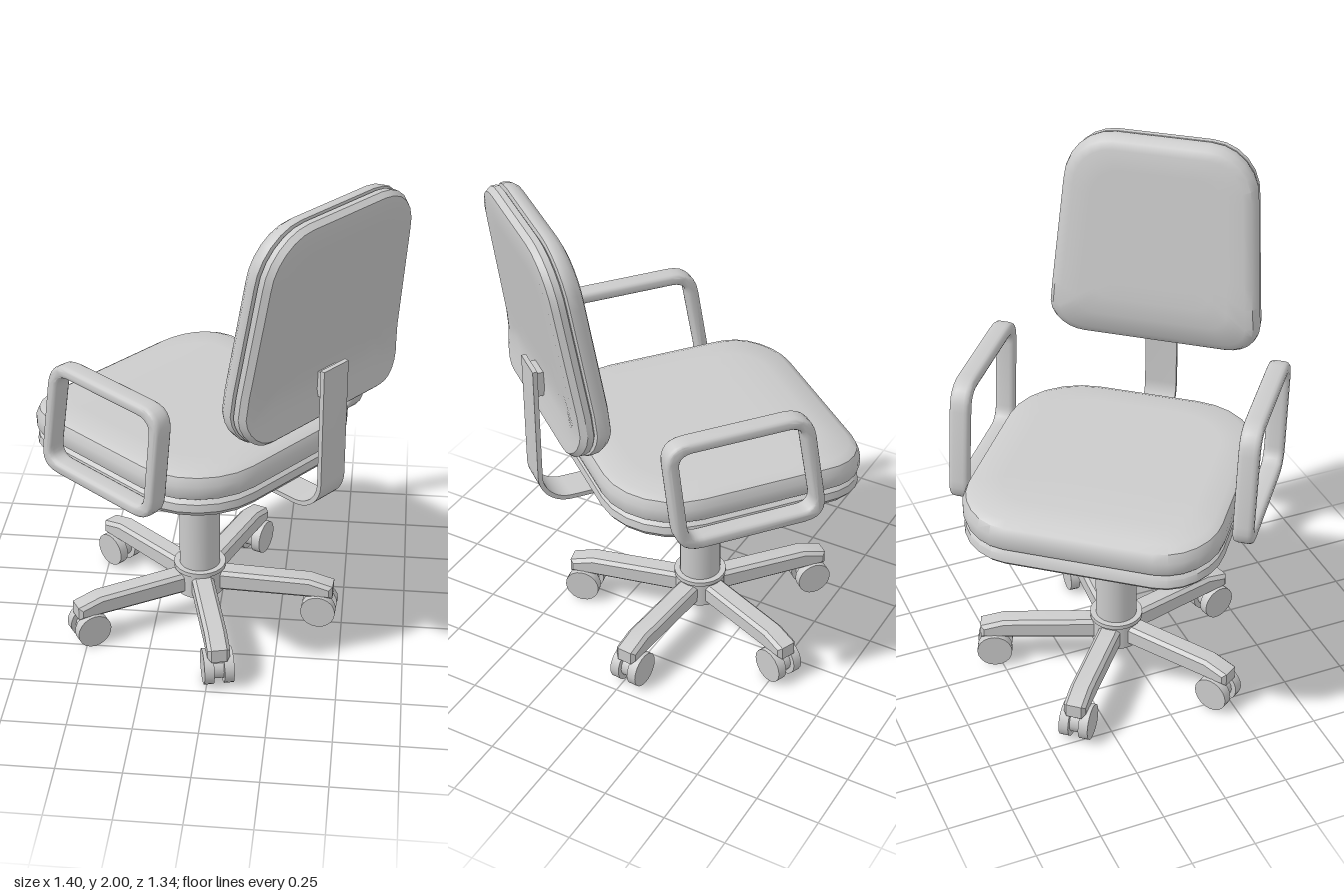
import * as THREE from 'three';
import { toCreasedNormals } from 'three/addons/utils/BufferGeometryUtils.js';

const grey = new THREE.MeshStandardMaterial({ color: 0xcccccc });

function add(parent, name, geometry, x = 0, y = 0, z = 0) {
  const mesh = new THREE.Mesh(geometry, grey);
  mesh.name = name;
  mesh.position.set(x, y, z);
  parent.add(mesh);
  return mesh;
}

// Rounded four-sided outline, inset by d; top and bottom ends have their own width and radius
function outline(o, d) {
  const corners = [
    [o.wTop - o.rTop, o.top - o.rTop, o.rTop], [-o.wTop + o.rTop, o.top - o.rTop, o.rTop],
    [-o.wBot + o.rBot, o.bottom + o.rBot, o.rBot], [o.wBot - o.rBot, o.bottom + o.rBot, o.rBot],
  ];
  const arcs = corners.map(([cx, cy, r], k) => Array.from({ length: 7 }, (_, i) => {
    const a = (k + i / 6) * Math.PI / 2;
    return [cx + (r - d) * Math.cos(a), cy + (r - d) * Math.sin(a)];
  }));
  const pts = [];
  arcs.forEach((arc, k) => {
    pts.push(...arc);
    const a = arc[6], b = arcs[(k + 1) % 4][0];
    for (let i = 1; i < 6; i++) pts.push([a[0] + (b[0] - a[0]) * i / 6, a[1] + (b[1] - a[1]) * i / 6]);
  });
  return pts;
}

// Closed pad lofted through [inset, height] rings, with bendable caps; bend(v) shifts the height
function pad(o, profile, bend) {
  const cy = (o.top + o.bottom) / 2;
  const caps = [0, 0.2, 0.4, 0.6, 0.8];
  const first = profile[0], last = profile[profile.length - 1];
  const rings = [
    ...caps.map(s => [...first, s]),
    ...profile.map(p => [...p, 1]),
    ...caps.slice().reverse().map(s => [...last, s]),
  ];
  const pos = [], idx = [];
  let n = 0;
  rings.forEach(([d, h, s], i) => {
    const pts = outline(o, d);
    n = pts.length;
    pts.forEach(([u, v], j) => {
      const y = cy + (v - cy) * s;
      pos.push(u * s, y, h + bend(y));
      if (i === 0) return;
      const a = (i - 1) * n + j, b = (i - 1) * n + (j + 1) % n;
      idx.push(a, b, b + n, a, b + n, a + n);
    });
  });
  const g = new THREE.BufferGeometry();
  g.setAttribute('position', new THREE.Float32BufferAttribute(pos, 3));
  g.setIndex(idx);
  g.computeVertexNormals();
  return toCreasedNormals(g, 0.6);
}

// Polygon path with rounded corners
function roundedPath(path, pts, r) {
  const v = pts.map(p => new THREE.Vector2(...p));
  v.forEach((p, i) => {
    const toward = q => p.clone().add(q.clone().sub(p).setLength(r));
    const a = toward(v[(i + v.length - 1) % v.length]), b = toward(v[(i + 1) % v.length]);
    if (i === 0) path.moveTo(a.x, a.y); else path.lineTo(a.x, a.y);
    path.quadraticCurveTo(p.x, p.y, b.x, b.y);
  });
  path.closePath();
  return path;
}

// Side profile extruded to a total width, centred on its plane
function slab(shape, width, bevel = 0, thick = bevel, segments = 1) {
  const g = new THREE.ExtrudeGeometry(shape, {
    depth: width - 2 * thick, bevelEnabled: bevel > 0, bevelSize: bevel, bevelOffset: -bevel,
    bevelThickness: thick, bevelSegments: segments, curveSegments: 6,
  });
  g.translate(0, 0, -width / 2 + thick);
  return toCreasedNormals(g, 0.6);
}

function createBase() {
  const base = new THREE.Group();
  base.name = 'base';
  add(base, 'hub', new THREE.CylinderGeometry(0.1, 0.1, 0.11, 24), 0, 0.165, 0);
  add(base, 'collar', new THREE.CylinderGeometry(0.105, 0.105, 0.018, 24), 0, 0.222, 0);
  add(base, 'columnSleeve', new THREE.CylinderGeometry(0.082, 0.082, 0.39, 24), 0, 0.415, 0);
  add(base, 'columnRod', new THREE.CylinderGeometry(0.029, 0.029, 0.2, 16), 0, 0.7, 0);
  add(base, 'columnFlange', new THREE.CylinderGeometry(0.07, 0.07, 0.02, 20), 0, 0.79, 0);

  const legShape = new THREE.Shape([
    [0.05, 0.118], [0.545, 0.125], [0.545, 0.18], [0.45, 0.206], [0.05, 0.206],
  ].map(p => new THREE.Vector2(...p)));
  const legGeometry = slab(legShape, 0.088, 0.014);
  const wheel = new THREE.CylinderGeometry(0.07, 0.07, 0.038, 20).rotateX(Math.PI / 2);
  const axle = new THREE.CylinderGeometry(0.05, 0.05, 0.05, 16).rotateX(Math.PI / 2);
  for (let i = 0; i < 5; i++) {
    const leg = new THREE.Group();
    leg.name = 'leg' + (i + 1);
    leg.rotation.y = -(4 + 72 * i) * Math.PI / 180;
    add(leg, 'legBeam', legGeometry);
    add(leg, 'casterYoke', new THREE.BoxGeometry(0.06, 0.08, 0.036), 0.495, 0.105, 0);
    add(leg, 'casterAxle', axle, 0.49, 0.07, 0);
    for (const s of [-1, 1]) add(leg, 'casterWheel', wheel, 0.49, 0.07, s * 0.039);
    base.add(leg);
  }
  return base;
}

function createUpper() {
  const upper = new THREE.Group();
  upper.name = 'seatAssembly';

  // Seat: outline top is the rear edge, and the front edge droops
  const seat = { wTop: 0.5, wBot: 0.5, top: 0.49, bottom: -0.52, rTop: 0.3, rBot: 0.22 };
  const droop = v => -0.45 * Math.max(0, -v - 0.24) ** 2;
  add(upper, 'seatShell', pad(seat, [[0.06, 0.795], [0.02, 0.803], [0.003, 0.825], [0.008, 0.855], [0.03, 0.875]], droop)
    .rotateX(-Math.PI / 2));
  add(upper, 'seatCushion', pad(seat, [[0.03, 0.865], [0.006, 0.88], [0, 0.9], [0, 0.935], [0.014, 0.966], [0.045, 0.98]], droop)
    .rotateX(-Math.PI / 2));

  // Backrest: leans back above the lumbar line and curls back below it
  const back = { wTop: 0.385, wBot: 0.425, top: 2, bottom: 1.16, rTop: 0.2, rBot: 0.14 };
  const lean = v => -0.57 - (v > 1.33 ? 0.148 * (v - 1.33) : 1.2 * (1.33 - v) ** 2);
  add(upper, 'backrestShell', pad(back, [[0.055, -0.065], [0.022, -0.058], [0.006, -0.035], [0.006, -0.012], [0.03, 0]], lean));
  add(upper, 'backrestCushion', pad(back, [[0.03, -0.01], [0.003, 0], [0, 0.012], [0.004, 0.036], [0.02, 0.056], [0.05, 0.065]], lean));

  // Bent flat bar carrying the backrest
  const bar = new THREE.Shape();
  bar.moveTo(-0.06, 0.782);
  bar.lineTo(-0.556, 0.782);
  bar.absarc(-0.556, 0.912, 0.13, Math.PI * 1.5, Math.PI, true);
  bar.lineTo(-0.686, 1.38);
  bar.lineTo(-0.668, 1.38);
  bar.absarc(-0.556, 0.912, 0.112, Math.PI, Math.PI * 1.5, false);
  bar.lineTo(-0.06, 0.8);
  bar.closePath();
  add(upper, 'backBar', slab(bar, 0.13).rotateY(-Math.PI / 2));
  add(upper, 'backMount', new THREE.BoxGeometry(0.09, 0.1, 0.07), 0, 1.31, -0.64);

  // Armrest loops with flat plates below the seat
  const loop = roundedPath(new THREE.Shape(), [[0.267, 0.822], [0.19, 1.3], [-0.387, 1.3], [-0.333, 0.822]], 0.1);
  loop.holes.push(roundedPath(new THREE.Path(), [[0.213, 0.872], [0.147, 1.252], [-0.332, 1.252], [-0.288, 0.872]], 0.055));
  const loopGeometry = slab(loop, 0.078, 0.015, 0.02, 3).rotateY(-Math.PI / 2);
  for (const s of [-1, 1]) {
    const side = s > 0 ? 'left' : 'right';
    add(upper, side + 'Armrest', loopGeometry, s * 0.549);
    add(upper, side + 'ArmPlate', new THREE.BoxGeometry(0.36, 0.018, 0.28), s * 0.35, 0.791, -0.03);
    add(upper, side + 'ArmBracket', new THREE.BoxGeometry(0.018, 0.08, 0.28), s * 0.52, 0.822, -0.03);
  }
  upper.rotation.y = -128.5 * Math.PI / 180;
  return upper;
}

export function createModel() {
  const chair = new THREE.Group();
  chair.name = 'officeChair';
  chair.add(createBase(), createUpper());
  chair.position.set(-0.081, 0, -0.055);
  const model = new THREE.Group();
  model.name = 'model';
  model.add(chair);
  return model;
}
